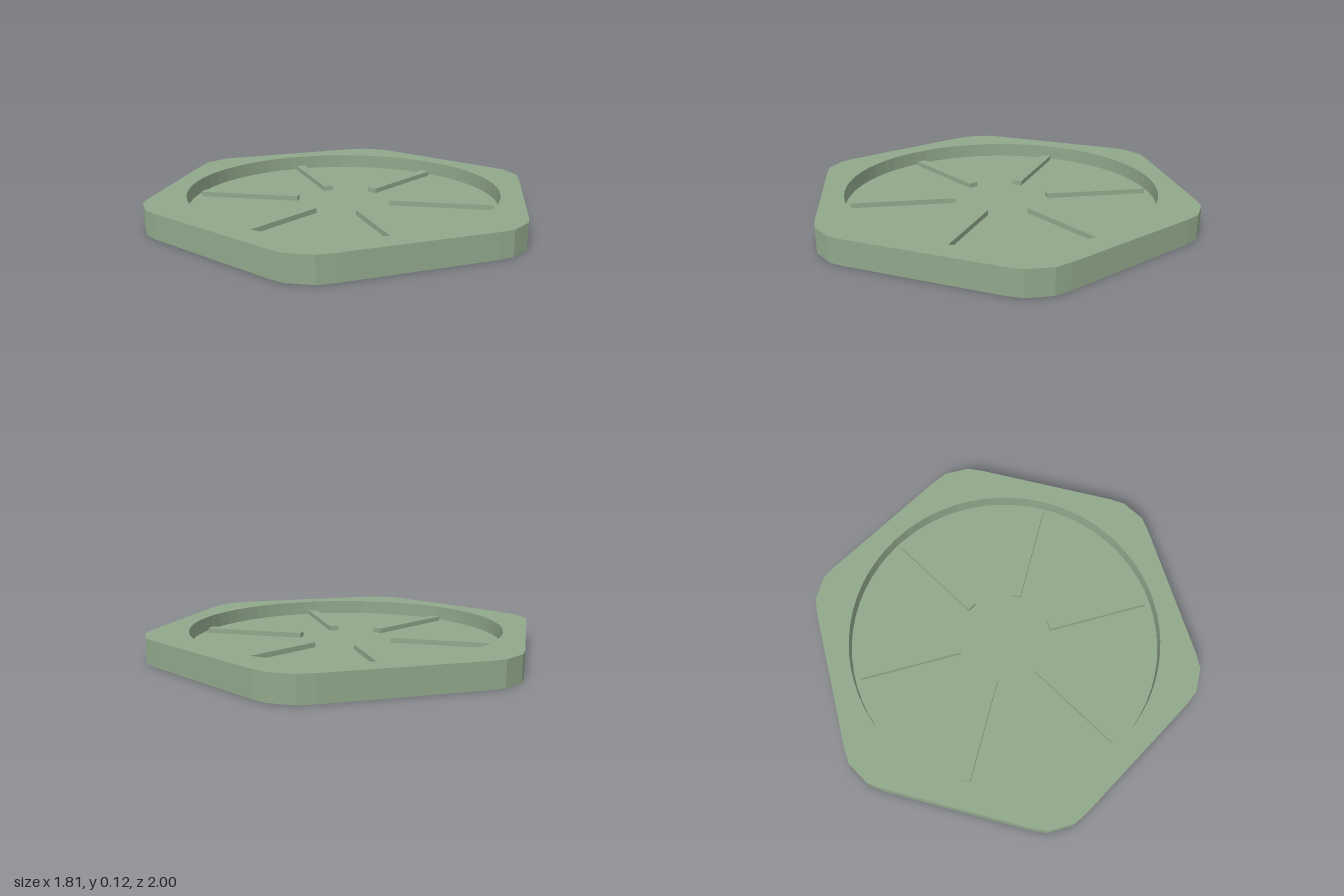
import * as THREE from 'three';

const HEIGHT = 0.125, FLOOR = 0.05, RECESS_RADIUS = 0.795;

// Hexagon with each corner cut into three short facets
function hexagonShape() {
  const corner = [[0.137, 0.966], [0.063, 1], [-0.063, 1], [-0.137, 0.966]];
  const points = [];
  for (let i = 0; i < 6; i++) {
    for (const [x, y] of corner) {
      points.push(new THREE.Vector2(x, y).rotateAround(new THREE.Vector2(), i * Math.PI / 3));
    }
  }
  return new THREE.Shape(points);
}

// Upright prism standing on y = bottom
function prism(shape, bottom, height) {
  const geometry = new THREE.ExtrudeGeometry(shape, { depth: height, bevelEnabled: false, curveSegments: 32 });
  return geometry.rotateX(-Math.PI / 2).translate(0, bottom, 0);
}

export function createModel() {
  const model = new THREE.Group();
  model.name = 'hexagonalTray';
  const sage = new THREE.MeshStandardMaterial({ color: 0x90a88b });
  sage.name = 'sageGreen';

  const add = (name, geometry) => {
    const mesh = new THREE.Mesh(geometry, sage);
    mesh.name = name;
    model.add(mesh);
    return mesh;
  };

  // Solid floor
  add('base', prism(hexagonShape(), 0, FLOOR));

  // Raised border around the round recess
  const border = hexagonShape();
  border.holes.push(new THREE.Path().absarc(0, 0, RECESS_RADIUS, 0, Math.PI * 2, true));
  add('border', prism(border, FLOOR, HEIGHT - FLOOR));

  // Six radial ribs on the recess floor
  const inner = 0.24, outer = 0.765, ribHeight = 0.025;
  const rib = new THREE.BoxGeometry(outer - inner, ribHeight, 0.05)
    .translate((inner + outer) / 2, FLOOR + ribHeight / 2, 0);
  for (let i = 0; i < 6; i++) {
    add('rib' + (i + 1), rib).rotation.y = i * Math.PI / 3;
  }

  return model;
}
